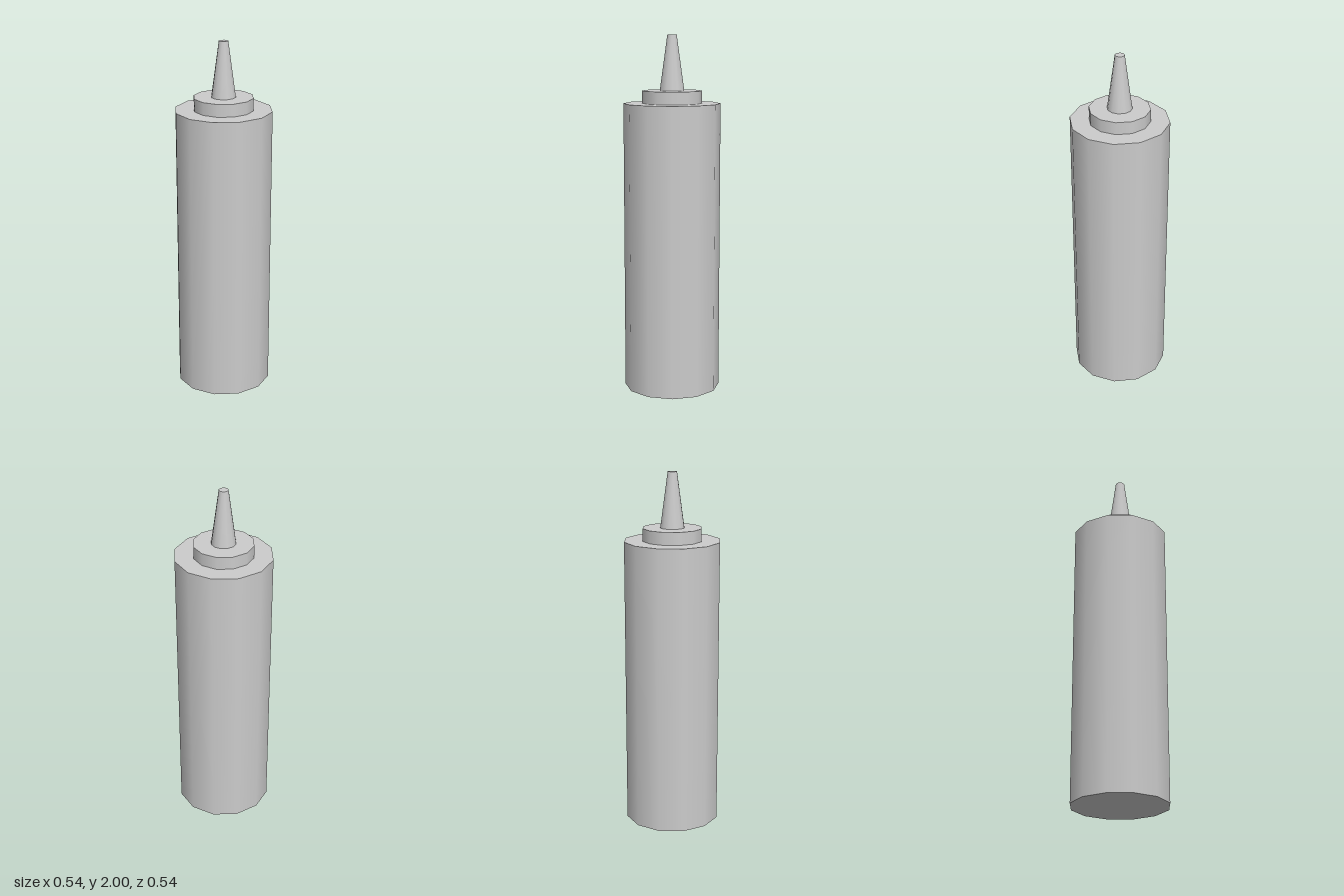
import * as THREE from 'three';

const SIDES = 12;

export function createModel() {
  const group = new THREE.Group();
  group.name = 'squeezeBottle';
  const material = new THREE.MeshStandardMaterial({ color: 0xcccccc });

  // Capped round section standing between two heights
  function addSection(name, bottomRadius, topRadius, y0, y1) {
    const geometry = new THREE.CylinderGeometry(topRadius, bottomRadius, y1 - y0, SIDES);
    geometry.translate(0, (y0 + y1) / 2, 0);
    const mesh = new THREE.Mesh(geometry, material);
    mesh.name = name;
    group.add(mesh);
  }

  addSection('body', 0.27, 0.27, 0, 1.625);
  addSection('cap', 0.166, 0.166, 1.625, 1.695);
  addSection('nozzle', 0.068, 0.026, 1.695, 2);

  return group;
}
